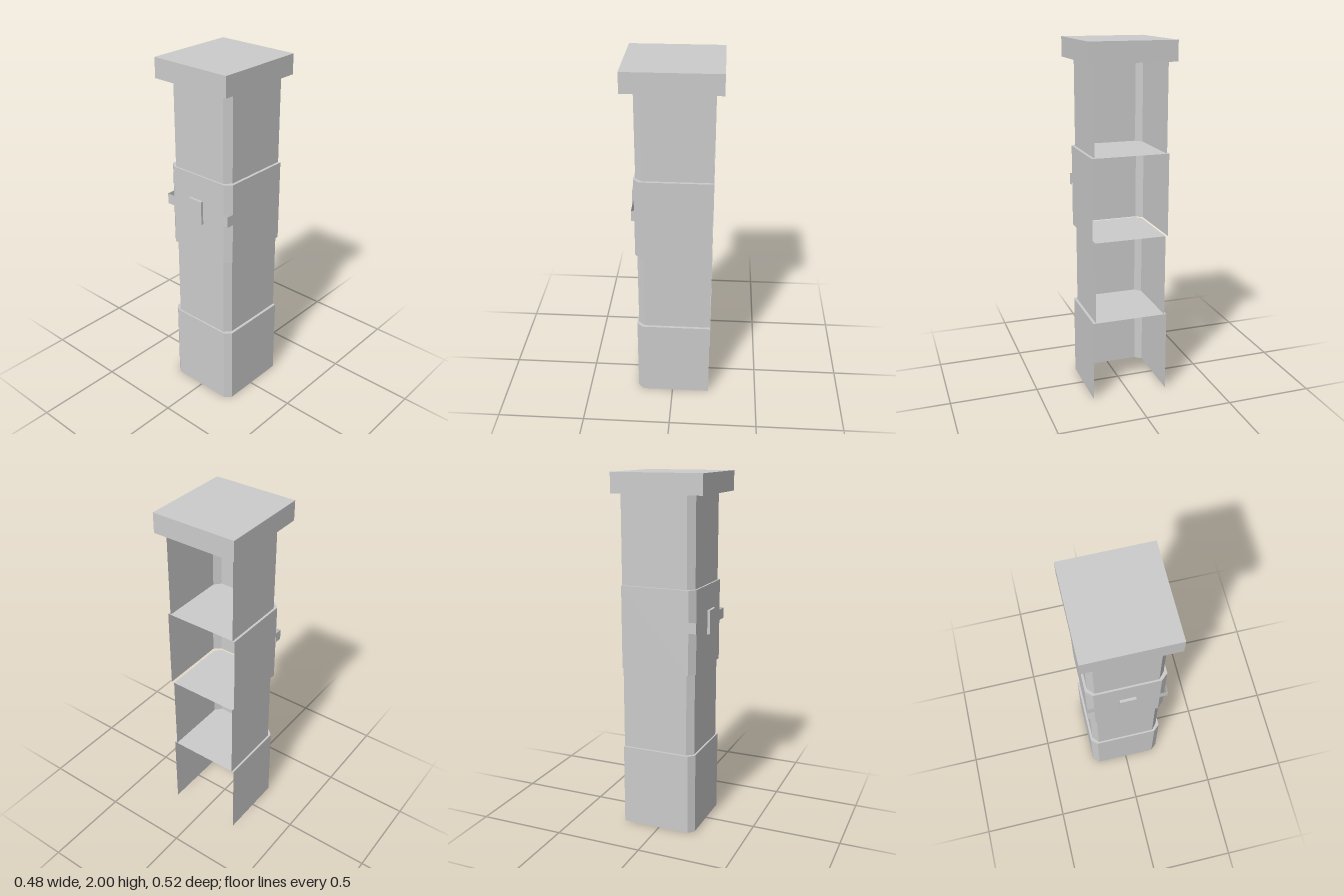
import * as THREE from 'three';

const material = new THREE.MeshStandardMaterial({
  color: 0xcccccc, flatShading: true, side: THREE.DoubleSide,
});

// Thin walls raised along an [x, z] outline, optionally closed by a flat top plate.
function shell(name, outline, y0, y1, topped) {
  const positions = [];
  const tri = (...points) => points.forEach((p) => positions.push(...p));
  const low = outline.map(([x, z]) => [x, y0, z]);
  const high = outline.map(([x, z]) => [x, y1, z]);
  for (let i = 0; i < outline.length - 1; i++) {
    tri(low[i], high[i], high[i + 1]);
    tri(low[i], high[i + 1], low[i + 1]);
    if (topped && i > 0) tri(high[0], high[i + 1], high[i]);
  }
  const geometry = new THREE.BufferGeometry();
  geometry.setAttribute('position', new THREE.Float32BufferAttribute(positions, 3));
  geometry.computeVertexNormals();
  const mesh = new THREE.Mesh(geometry, material);
  mesh.name = name;
  return mesh;
}

// Open-backed U outline with two chamfered front corners.
function chamferedU(left, right, back, front, cutX, cutZ) {
  return [
    [right, back], [right, front - cutZ], [right - cutX, front],
    [left + cutX, front], [left, front - cutZ], [left, back],
  ];
}

export function createModel() {
  const model = new THREE.Group();
  model.name = 'column';

  // Stacked shaft sections, alternating wide and narrow
  const wide = chamferedU(-0.22, 0.216, -0.217, 0.208, 0.036, 0.032);
  const narrow = chamferedU(-0.207, 0.2, -0.217, 0.198, 0.032, 0.037);
  const levels = [0, 0.467, 0.935, 1.4, 1.89];
  const names = ['baseSection', 'lowerShaft', 'middleSection', 'upperShaft'];
  names.forEach((name, i) => {
    model.add(shell(name, i % 2 ? narrow : wide, levels[i], levels[i + 1], true));
  });

  // Cap, open underneath
  const cap = [[0.242, -0.26], [0.242, 0.26], [-0.242, 0.26], [-0.242, -0.26], [0.242, -0.26]];
  model.add(shell('cap', cap, 1.89, 2, true));

  // Strap wrapped round the front of the middle section
  const strap = [[0.218, 0.175], [0.218, 0.22], [-0.222, 0.22], [-0.222, 0.175]];
  model.add(shell('strap', strap, 1.17, 1.23, false));

  // Buckle plate
  const buckle = new THREE.Mesh(new THREE.BoxGeometry(0.09, 0.135, 0.015), material);
  buckle.name = 'buckle';
  buckle.position.set(-0.003, 1.198, 0.2265);
  model.add(buckle);

  return model;
}
